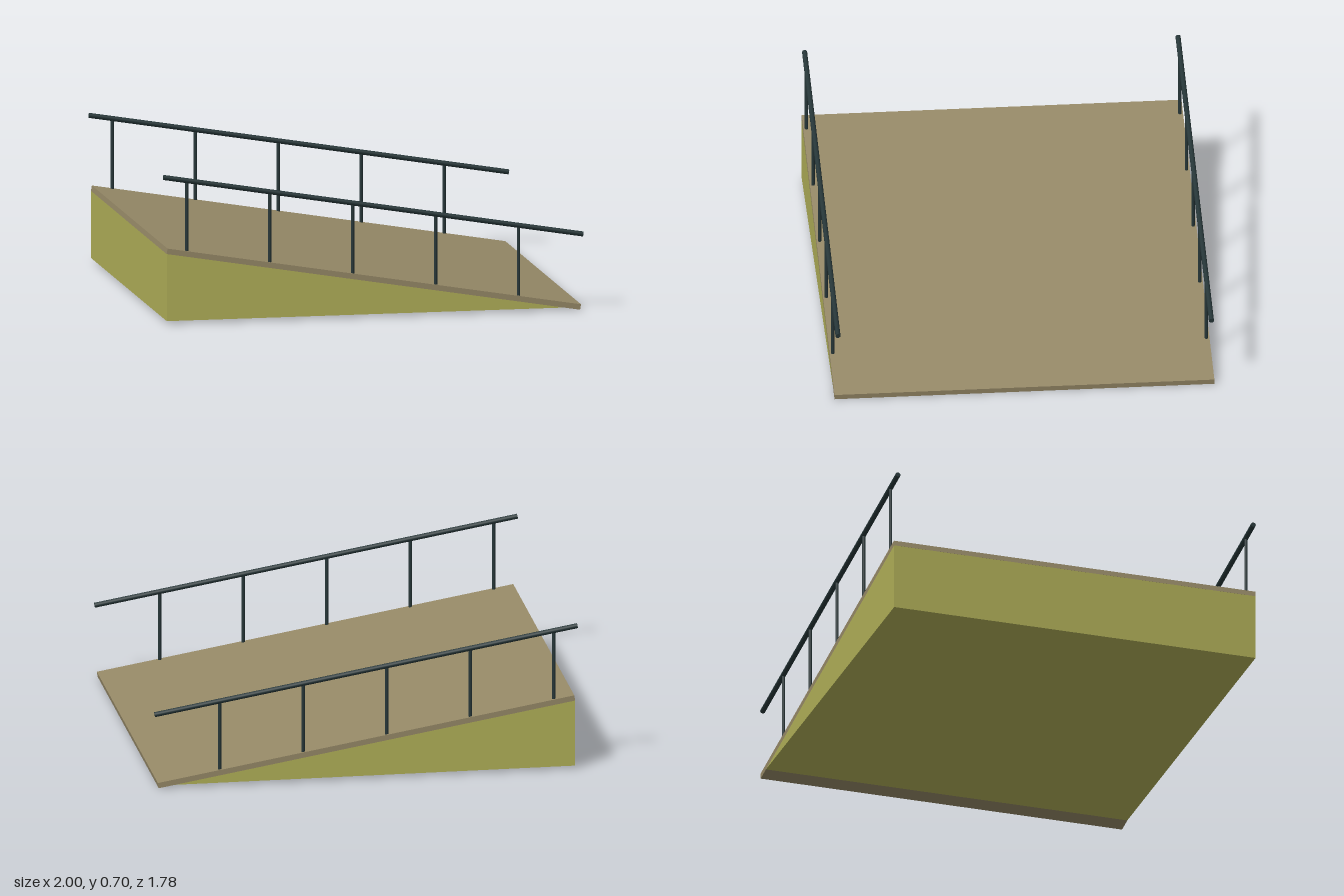
import * as THREE from 'three';

export function createModel() {
  const model = new THREE.Group();
  model.name = 'accessRamp';

  const material = (name, color) => {
    const m = new THREE.MeshStandardMaterial({ color });
    m.name = name;
    return m;
  };
  const deckTan = material('deckTan', 0x968967);
  const baseOlive = material('baseOlive', 0xb1b058);
  const railDark = material('railDark', 0x263638);

  const add = (name, geometry, mat, x = 0, y = 0, z = 0) => {
    const mesh = new THREE.Mesh(geometry, mat);
    mesh.name = name;
    mesh.position.set(x, y, z);
    model.add(mesh);
    return mesh;
  };

  const slope = 0.168;
  const angle = Math.atan(slope);
  const halfWidth = 0.888;
  const deckMid = 0.178;
  const deckThick = 0.026;
  const halfThickY = deckThick / 2 / Math.cos(angle);
  const deckY = (x) => deckMid - slope * x;

  // Sloping deck board
  const deck = add('deck', new THREE.BoxGeometry(1.994, deckThick, halfWidth * 2), deckTan, 0, deckMid);
  deck.rotation.z = -angle;

  // Wedge base, cut off along the underside of the deck
  const floor = 0.013;
  const left = -0.985;
  const tip = (deckMid - halfThickY - floor) / slope;
  const side = new THREE.Shape([
    new THREE.Vector2(left, floor),
    new THREE.Vector2(tip, floor),
    new THREE.Vector2(left, deckY(left) - halfThickY),
  ]);
  const wedge = new THREE.ExtrudeGeometry(side, { depth: halfWidth * 2, bevelEnabled: false });
  add('wedgeBase', wedge, baseOlive, 0, 0, -halfWidth);

  // Handrails with upright posts on both sides
  const railRise = 0.345;
  for (const z of [-0.873, 0.873]) {
    const sideName = z > 0 ? 'front' : 'back';
    const rail = add(sideName + 'Handrail', new THREE.CylinderGeometry(0.012, 0.012, 2.024, 12), railDark, 0, deckMid + railRise, z);
    rail.rotation.z = Math.PI / 2 - angle;
    for (let i = 0; i < 5; i++) {
      const x = -0.887 + i * 0.3945;
      add(sideName + 'Post' + (i + 1), new THREE.CylinderGeometry(0.008, 0.008, railRise, 10), railDark, x, deckY(x) + railRise / 2, z);
    }
  }

  return model;
}
